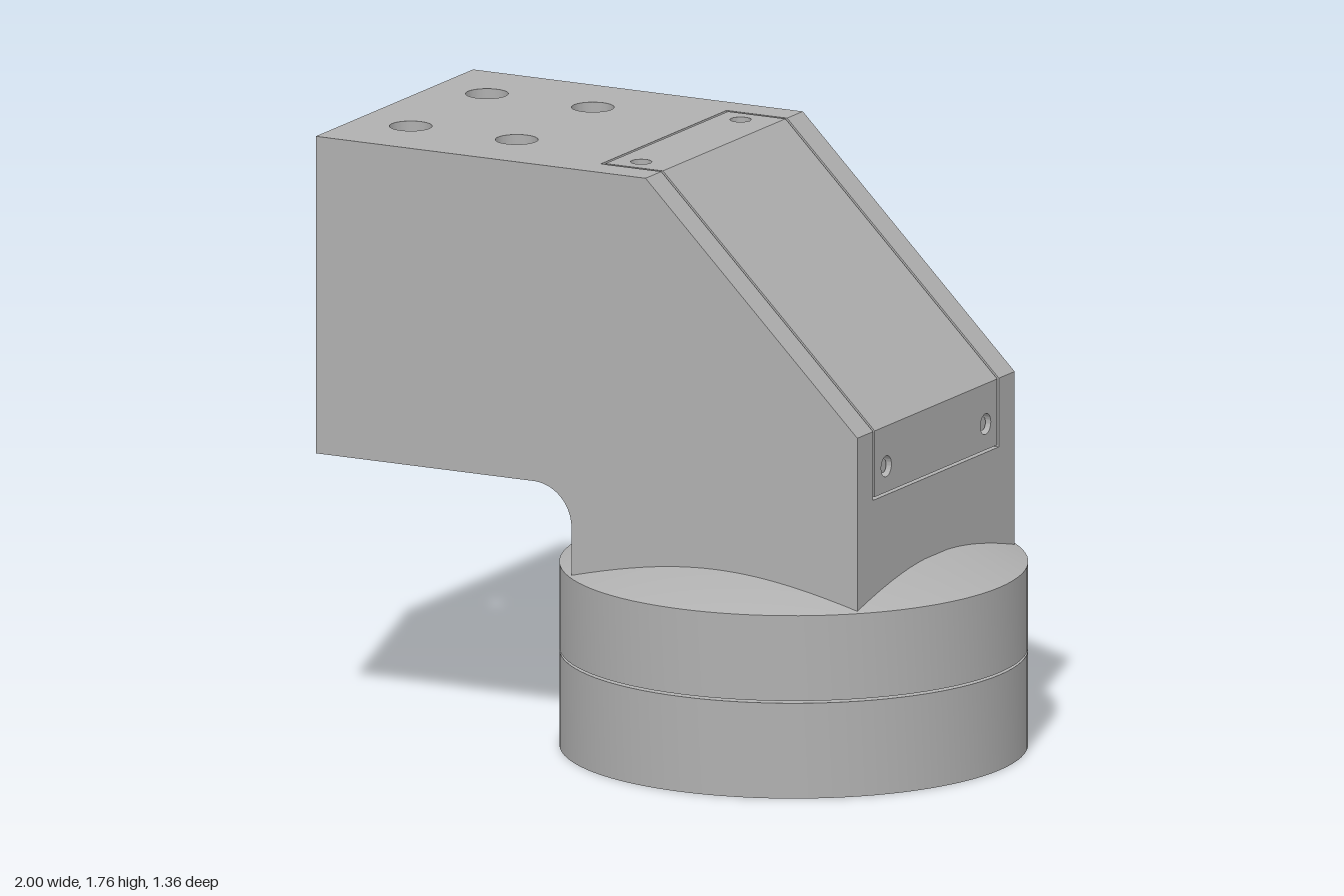
import * as THREE from 'three';
import { toCreasedNormals } from 'three/addons/utils/BufferGeometryUtils.js';

const W = 0.475;    // half width of the housing
const SEAT = 0.38;  // half width of the lid recess
const CAV = 0.355;  // half width of the cavity
const CX = 0.32;    // axis of the round base

export function createModel() {
  const model = new THREE.Group();
  const metal = new THREE.MeshStandardMaterial({ color: 0xb0b0b0 });
  metal.name = 'grey metal';

  const add = (name, geo, parent = model) => {
    const mesh = new THREE.Mesh(toCreasedNormals(geo, 0.5), metal);
    mesh.name = name;
    parent.add(mesh);
    return mesh;
  };
  const poly = (pts) => new THREE.Shape(pts.map(([x, y]) => new THREE.Vector2(x, y)));
  const rect = (x0, y0, x1, y1) => poly([[x0, y0], [x1, y0], [x1, y1], [x0, y1]]);
  const drill = (shape, r, centres) => {
    for (const [x, y] of centres) shape.holes.push(new THREE.Path().absarc(x, y, r, 0, Math.PI * 2, true));
    return shape;
  };
  const extrude = (shape, depth) =>
    new THREE.ExtrudeGeometry(shape, { depth, bevelEnabled: false, curveSegments: 32 });
  // shape in (x, y), spanning z0..z1
  const alongZ = (shape, z0, z1) => extrude(shape, z1 - z0).translate(0, 0, z0);
  // shape in (x, -z), spanning y0..y1
  const alongY = (shape, y0, y1) => extrude(shape, y1 - y0).rotateX(-Math.PI / 2).translate(0, y0, 0);
  // shape in (-z, y), spanning x0..x1
  const alongX = (shape, x0, x1) => extrude(shape, x1 - x0).rotateY(Math.PI / 2).translate(x0, 0, 0);

  // Elbow housing outline, with or without the lid recess
  const lidEdge = [[-0.11, 1.76], [-0.11, 1.73], [0.078, 1.73], [0.76, 1.053], [0.76, 0.86], [0.79, 0.86]];
  const fullEdge = [[0.09, 1.76], [0.79, 1.065]];
  const outline = (edge) => {
    const s = poly([[-1, 0.815], [-1, 1.76], ...edge, [0.79, 0.54], [-0.155, 0.54], [-0.155, 0.69]]);
    s.absarc(-0.28, 0.69, 0.125, 0, Math.PI / 2, false);
    return s;
  };

  const housing = new THREE.Group();
  housing.name = 'housing';
  model.add(housing);
  for (const s of [-1, 1]) {
    const span = (a, b) => (s > 0 ? [a, b] : [-b, -a]);
    add('sideWall', alongZ(outline(fullEdge), ...span(SEAT, W)), housing);
    add('lidLedge', alongZ(outline(lidEdge), ...span(CAV, SEAT)), housing);
  }

  // Drilled arm plates
  const armHoles = [];
  for (const x of [-0.82, -0.47]) for (const z of [-0.23, 0.23]) armHoles.push([x, z]);
  add('armTop', alongY(drill(rect(-1, -CAV, -0.11, CAV), 0.062, armHoles), 1.64, 1.76), housing);
  add('armBottom', alongY(drill(rect(-1, -CAV, -0.28, CAV), 0.062, armHoles), 0.815, 0.935), housing);

  // Outer bend under the lid, and rounded inner bend
  const outer = poly([...lidEdge, [0.79, 0.54], [0.7, 0.54], [0.7, 0.985], [0.043, 1.64], [-0.11, 1.64]]);
  add('outerBend', alongZ(outer, -CAV, CAV), housing);
  const inner = poly([[-0.28, 0.935], [-0.065, 0.935], [-0.065, 0.54], [-0.155, 0.54], [-0.155, 0.69]]);
  inner.absarc(-0.28, 0.69, 0.125, 0, Math.PI / 2, false);
  add('innerBend', alongZ(inner, -CAV, CAV), housing);

  // Rounded corners of the arm opening
  const r = 0.07;
  for (const sz of [-1, 1]) {
    for (const [y, sy, end] of [[0.935, 1, -0.28], [1.64, -1, -0.11]]) {
      const c = new THREE.Shape();
      c.moveTo(sz * CAV, y);
      c.lineTo(sz * (CAV - r), y);
      c.quadraticCurveTo(sz * CAV, y, sz * CAV, y + sy * r);
      add('openingFillet', alongX(c, -1, end), housing);
    }
  }

  // Flush lid: drilled top and front tabs joined by the sloping band
  const lid = new THREE.Group();
  lid.name = 'lid';
  model.add(lid);
  const L = 0.37;
  const topScrews = [[-0.02, -0.3], [-0.02, 0.3]];
  const frontScrews = [[-0.3, 0.945], [0.3, 0.945]];
  add('lidTop', alongY(drill(rect(-0.1, -L, 0.06, L), 0.031, topScrews), 1.73, 1.76), lid);
  add('lidSlope', alongZ(poly([[0.06, 1.76], ...fullEdge, [0.79, 1.04], [0.76, 1.04],
    [0.76, 1.053], [0.078, 1.73], [0.06, 1.73]]), -L, L), lid);
  add('lidFront', alongX(drill(rect(-L, 0.868, L, 1.04), 0.031, frontScrews), 0.76, 0.79), lid);

  // Sunken screws
  for (const z of [-0.3, 0.3]) {
    add('topScrew', new THREE.CylinderGeometry(0.021, 0.021, 0.02, 24), lid).position.set(-0.02, 1.738, z);
    const screw = add('frontScrew', new THREE.CylinderGeometry(0.021, 0.021, 0.02, 24), lid);
    screw.rotation.z = -Math.PI / 2;
    screw.position.set(0.768, 0.945, z);
  }

  // Round base with bore, thin parting gap and conical shoulder
  const base = new THREE.Group();
  base.name = 'base';
  base.position.x = CX;
  model.add(base);
  const profile = [[0.39, 0.1], [0.65, 0.1], [0.65, 0], [0.68, 0], [0.68, 0.284], [0.51, 0.284], [0.51, 0.291],
    [0.68, 0.291], [0.68, 0.545], [0.475, 0.62], [0.39, 0.62], [0.39, 0.1]];
  add('baseBody', new THREE.LatheGeometry(profile.map(([x, y]) => new THREE.Vector2(x, y)), 96), base);

  // Underside rings with mounting holes
  const ring = (ro, ri, holeR, count, pitch, start) => {
    const s = new THREE.Shape().absarc(0, 0, ro, 0, Math.PI * 2, false);
    const centres = [];
    for (let i = 0; i < count; i++) {
      const a = start + (i * Math.PI * 2) / count;
      centres.push([pitch * Math.cos(a), pitch * Math.sin(a)]);
    }
    drill(s, ri, [[0, 0]]);
    return alongY(drill(s, holeR, centres), 0.02, 0.1);
  };
  add('outerFlange', ring(0.65, 0.508, 0.036, 4, 0.58, Math.PI / 4), base);
  add('innerFlange', ring(0.492, 0.39, 0.027, 2, 0.45, Math.PI / 2), base);

  return model;
}
